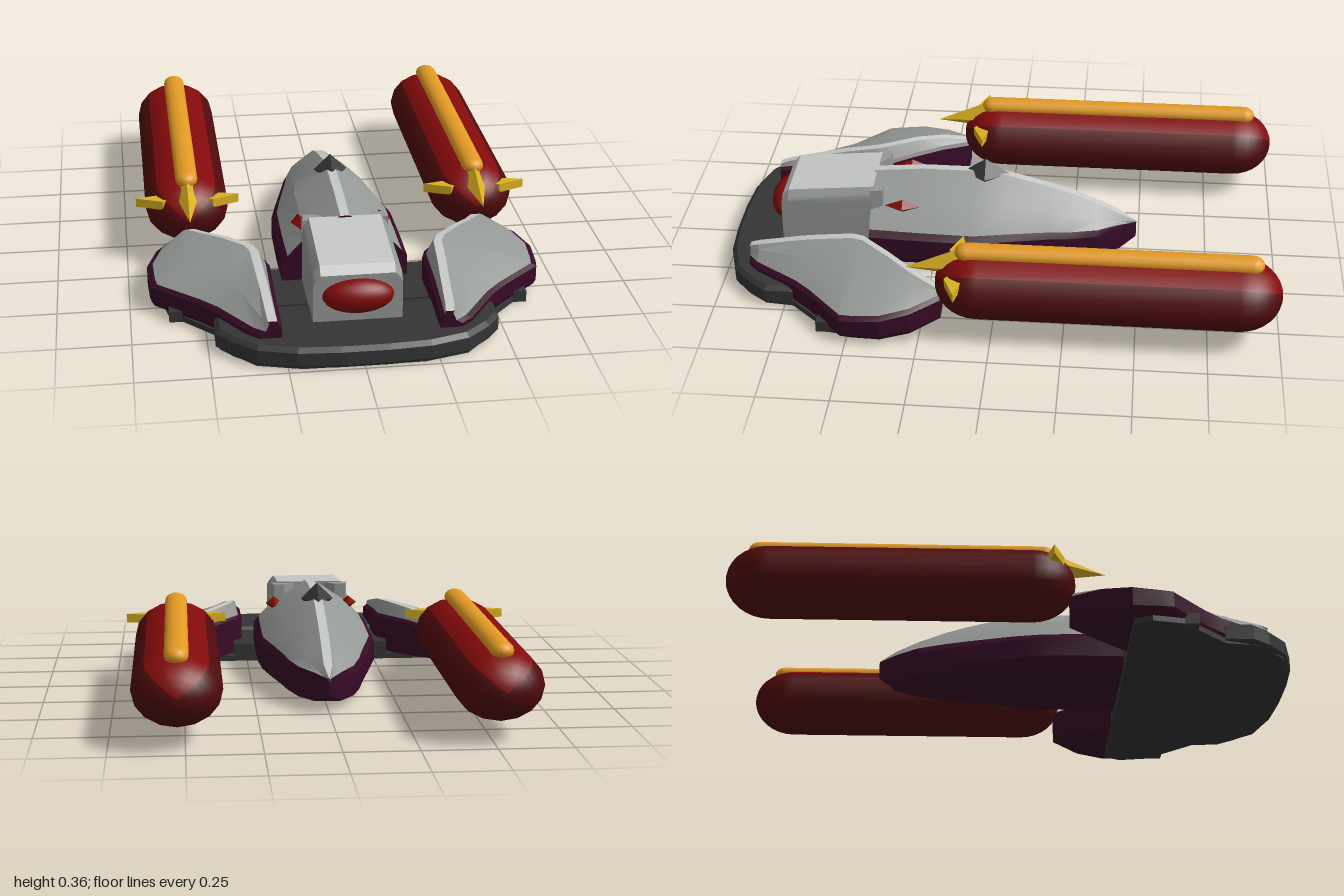
import * as THREE from 'three';
import { toCreasedNormals } from 'three/addons/utils/BufferGeometryUtils.js';

function makeMaterial(name, color, flatShading = false) {
  const m = new THREE.MeshStandardMaterial({ color, flatShading });
  m.name = name;
  return m;
}

// Skin between rings (anticlockwise seen from the front, ordered front to back).
// strips[k] is the material index of the band after point k; side -1 mirrors in x.
function loft(rings, strips, materials, capIndex, side = 1) {
  const n = strips.length;
  const buckets = materials.map(() => []);
  const tri = (m, a, b, c) => {
    for (const p of side > 0 ? [a, b, c] : [a, c, b]) buckets[m].push(p[0] * side, p[1], p[2]);
  };
  for (let i = 0; i < rings.length - 1; i++) {
    for (let k = 0; k < n; k++) {
      const a = rings[i][k], b = rings[i][(k + 1) % n];
      const d = rings[i + 1][k], c = rings[i + 1][(k + 1) % n];
      tri(strips[k], a, d, c);
      tri(strips[k], a, c, b);
    }
  }
  const first = rings[0], last = rings[rings.length - 1];
  for (let k = 1; k < n - 1; k++) {
    tri(capIndex, first[0], first[k], first[k + 1]);
    tri(capIndex, last[0], last[k + 1], last[k]);
  }
  let geo = new THREE.BufferGeometry();
  geo.setAttribute('position', new THREE.Float32BufferAttribute(buckets.flat(), 3));
  geo = toCreasedNormals(geo, 0.3);
  let start = 0;
  buckets.forEach((b, m) => {
    geo.addGroup(start, b.length / 3, m);
    start += b.length / 3;
  });
  return new THREE.Mesh(geo, materials);
}

// Flat plate lying in the xz plane, from an outline of [x, z] points
function plate(points, y, height, bevel = 0) {
  const shape = new THREE.Shape(points.map(([x, z]) => new THREE.Vector2(x, -z)));
  const geo = new THREE.ExtrudeGeometry(shape, {
    depth: height - bevel * 2, bevelEnabled: bevel > 0, bevelThickness: bevel,
    bevelSize: bevel, bevelOffset: -bevel, bevelSegments: 1,
  });
  geo.rotateX(-Math.PI / 2);
  geo.translate(0, y + bevel, 0);
  return geo;
}

// Engine tube along z: group 0 is the body, group 1 the brighter upper panels
function engineTube() {
  const geo = new THREE.CapsuleGeometry(0.15, 0.9, 8, 16);
  geo.rotateX(Math.PI / 2);
  const pos = geo.attributes.position, index = geo.index.array;
  const body = [], panels = [];
  for (let i = 0; i < index.length; i += 3) {
    const t = [index[i], index[i + 1], index[i + 2]];
    const x = t.reduce((s, v) => s + pos.getX(v), 0), y = t.reduce((s, v) => s + pos.getY(v), 0);
    (y > Math.abs(x) ? panels : body).push(...t);
  }
  geo.setIndex([...body, ...panels]);
  geo.clearGroups();
  geo.addGroup(0, body.length, 0);
  geo.addGroup(body.length, panels.length, 1);
  geo.scale(1, 0.8, 1);
  return geo;
}

// Complete a right-hand outline with its mirror image
const mirrored = (half) => [...half, ...half.slice().reverse().map(([x, z]) => [-x, z])];

export function createModel() {
  const model = new THREE.Group();
  const grey = makeMaterial('hull grey', 0x959996);
  const light = makeMaterial('light grey', 0xc6c8c6);
  const purple = makeMaterial('dark purple', 0x360a26);
  const dark = makeMaterial('charcoal', 0x343534);
  const red = makeMaterial('deep red', 0x820a0b);
  const darkRed = makeMaterial('dark red', 0x500a0c);
  const orange = makeMaterial('orange', 0xe29a24);
  const gold = makeMaterial('gold', 0xd8b022, true);

  const add = (name, geo, mat, x = 0, y = 0, z = 0) => {
    const mesh = new THREE.Mesh(geo, mat);
    mesh.name = name;
    mesh.position.set(x, y, z);
    model.add(mesh);
    return mesh;
  };

  // Base: thin underside, thick front plate, lower rear deck
  add('baseUnderside', plate(mirrored([
    [0.2, 0.98], [0.35, 0.94], [0.46, 0.82], [0.47, 0.72], [0.62, 0.56], [0.64, 0.45], [0.61, 0.39],
  ]), 0, 0.02), dark);
  add('basePlate', plate(mirrored([
    [0.08, 0.998], [0.22, 0.988], [0.35, 0.95], [0.43, 0.88], [0.475, 0.82], [0.475, 0.72], [0.42, 0.675],
  ]), 0, 0.077, 0.015), dark);
  add('rearDeck', plate(mirrored([[0.32, 0.66], [0.3, 0.39]]), 0.01, 0.058), dark);

  // Central hull: z, half width, ridge height, edge height, bottom
  const hullStations = [
    [0.48, 0.22, 0.305, 0.14, 0.03], [0.3, 0.222, 0.32, 0.135, 0.03], [0.1, 0.22, 0.32, 0.13, 0.03],
    [0, 0.198, 0.31, 0.13, 0.03], [-0.17, 0.157, 0.265, 0.125, 0.03], [-0.25, 0.14, 0.24, 0.12, 0.03],
    [-0.35, 0.107, 0.2, 0.115, 0.03], [-0.43, 0.05, 0.16, 0.11, 0.03], [-0.49, 0.004, 0.125, 0.1, 0.06],
  ];
  const hullRings = hullStations.map(([z, w, top, edge, bottom]) => {
    const r = Math.min(0.016, w * 0.3), inset = w * 0.91, mid = w * 0.62;
    const my = edge + (top - edge) * 0.55;
    const half = [[w * 0.92, bottom], [w, bottom + 0.03], [w, edge], [inset, edge + 0.022], [mid, my], [r, top]];
    return [...half, ...half.slice().reverse().map(([x, y]) => [-x, y])].map(([x, y]) => [x, y, z]);
  });
  const hull = loft(hullRings, [0, 0, 0, 1, 1, 2, 1, 1, 0, 0, 0, 0], [purple, grey, light], 0);
  hull.name = 'centralHull';
  model.add(hull);

  // Dorsal fin
  const fin = add('dorsalFin', new THREE.OctahedronGeometry(1), dark, 0, 0.305, 0.07);
  fin.scale.set(0.06, 0.058, 0.09);

  // Cabin: sloping grey body with a light chamfered roof
  const cabinRing = (z, w, shoulder, top) => [
    [w, 0.06, z], [w, shoulder, z], [w - 0.006, top - 0.022, z], [w - 0.025, top, z],
    [-w + 0.025, top, z], [-w + 0.006, top - 0.022, z], [-w, shoulder, z], [-w, 0.06, z],
  ];
  const cabin = loft([
    cabinRing(0.81, 0.15, 0.205, 0.245), cabinRing(0.785, 0.15, 0.238, 0.272), cabinRing(0.47, 0.15, 0.245, 0.3),
  ], [0, 0, 0, 1, 0, 0, 0, 0], [grey, light], 0);
  cabin.name = 'cabin';
  model.add(cabin);

  // Front lens
  const dome = add('frontLens', new THREE.SphereGeometry(1, 24, 14), red, 0, 0.17, 0.81);
  dome.scale.set(0.12, 0.06, 0.06);

  // Side pods: z, outer x, inner x, ridge x, ridge height, edge height, bottom
  const podStations = [
    [0.9, 0.335, 0.262, 0.292, 0.138, 0.09, 0.06], [0.865, 0.375, 0.262, 0.296, 0.15, 0.09, 0.03],
    [0.71, 0.478, 0.266, 0.305, 0.182, 0.09, 0.02], [0.65, 0.532, 0.266, 0.31, 0.193, 0.09, 0.02],
    [0.52, 0.674, 0.266, 0.318, 0.21, 0.09, 0.02], [0.48, 0.68, 0.28, 0.333, 0.212, 0.092, 0.02],
    [0.38, 0.684, 0.355, 0.41, 0.2, 0.1, 0.02], [0.28, 0.647, 0.43, 0.48, 0.175, 0.11, 0.025],
    [0.18, 0.567, 0.49, 0.525, 0.145, 0.12, 0.04],
  ];
  const podRings = podStations.map(([z, xo, xi, xr, top, edge, bottom]) => {
    const inner = edge + (top - edge) * 0.5, outer = xo - 0.02;
    return [
      [xi, bottom], [xo - 0.01, bottom], [xo, bottom + 0.015], [xo, edge], [outer, edge + 0.012],
      [(outer + xr) / 2, (edge + top) / 2 + 0.015], [xr + 0.016, top], [xr - 0.014, top],
      [xi + 0.014, inner + 0.01], [xi, inner],
    ].map(([x, y]) => [x, y, z]);
  });

  for (const side of [1, -1]) {
    const label = side > 0 ? 'left' : 'right';
    const pod = loft(podRings, [0, 0, 0, 0, 1, 1, 2, 1, 0, 0], [purple, grey, light], 0, side);
    pod.name = label + 'Pod';
    model.add(pod);

    // Small foot under the pod
    add(label + 'PodFoot', new THREE.BoxGeometry(0.045, 0.04, 0.06), dark, 0.597 * side, 0.021, 0.582);

    // Rear shoulder of the cabin
    add(label + 'CabinShoulder', plate([
      [0.15 * side, 0.48], [0.14 * side, 0.435], [0.1 * side, 0.435], [0.05 * side, 0.48],
    ], 0.2, 0.095), grey);

    // Small red gem on the hull flank
    const gem = add(label + 'Gem', new THREE.OctahedronGeometry(1), red, 0.145 * side, 0.235, 0.362);
    gem.scale.set(0.032, 0.026, 0.066);

    // Engine tube with its top rail
    const x = 0.525 * side;
    add(label + 'Engine', engineTube(), [darkRed, red], x, 0.18, -0.4);
    const rail = new THREE.CapsuleGeometry(0.04, 0.98, 5, 14);
    rail.rotateX(Math.PI / 2);
    rail.scale(1, 0.75, 1);
    add(label + 'EngineRail', rail, orange, x, 0.3, -0.4);

    // Gold prongs: two sideways, one forward
    for (const dir of [1, -1]) {
      add(label + (dir > 0 ? 'Outer' : 'Inner') + 'Prong', plate([
        [0.185, 0.118], [0.09, 0.158], [0.02, 0.11], [0.09, 0.095],
      ].map(([px, pz]) => [px * dir * side, pz]), 0.214, 0.032), gold, x);
    }
    const spike = new THREE.ConeGeometry(1, 1, 4);
    spike.rotateX(Math.PI / 2);
    spike.scale(0.048, 0.055, 0.2);
    const prong = add(label + 'FrontProng', spike, gold, x, 0.242, 0.205);
    prong.rotation.x = 0.15;
  }
  return model;
}
